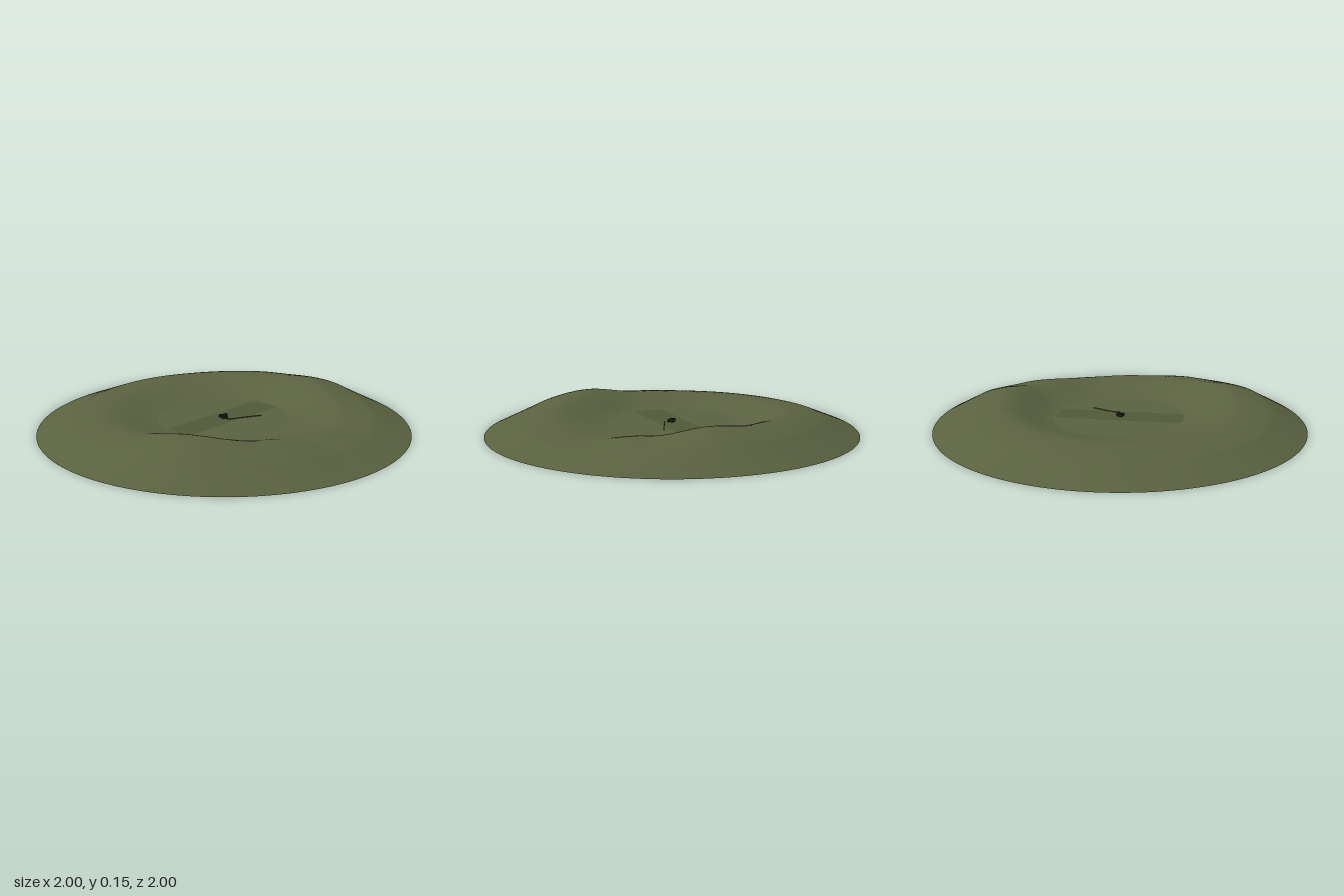
import * as THREE from 'three';
import { mergeVertices } from 'three/addons/utils/BufferGeometryUtils.js';

const FLOOR = 0.163, RIM = 0.12, INNER = 0.35, RIDGE = 0.64, SHOULDER = 0.81;

// Ridge height by compass angle in degrees (0 = +x, 90 = +z)
const ridge = [[-16, 0.27], [14, 0.222], [45, 0.18], [68, 0.195], [92, 0.228], [131, 0.27],
  [165, 0.222], [190, 0.215], [230, 0.215], [270, 0.226], [320, 0.25], [344, 0.27]];

function ridgeHeight(angle) {
  let deg = THREE.MathUtils.radToDeg(angle);
  while (deg < -16) deg += 360;
  while (deg >= 344) deg -= 360;
  const i = ridge.findIndex((p, k) => k < ridge.length - 1 && deg < ridge[k + 1][0]);
  const [a, b] = [ridge[i], ridge[i + 1]];
  return THREE.MathUtils.lerp(a[1], b[1], THREE.MathUtils.smoothstep(deg, a[0], b[0]));
}

function groundHeight(x, z) {
  const r = Math.hypot(x, z);
  const top = ridgeHeight(Math.atan2(z, x));
  const shoulder = 0.17 + (top - 0.18) * 0.6;
  if (r < INNER) return FLOOR - 0.002;
  if (r < RIDGE) {
    const s = (r - INNER) / (RIDGE - INNER);
    const f = 0.25 * Math.sin(s * Math.PI / 2) + 0.75 * s * s * (3 - 2 * s);
    return FLOOR + 0.001 + (top - FLOOR - 0.001) * f;
  }
  if (r < SHOULDER) {
    const s = (r - RIDGE) / (SHOULDER - RIDGE);
    return THREE.MathUtils.lerp(top, shoulder, 0.5 * s + 0.5 * s * s);
  }
  return THREE.MathUtils.lerp(shoulder, RIM, (r - SHOULDER) / (1 - SHOULDER));
}

export function createModel() {
  const group = new THREE.Group();
  const material = (name, color, side = THREE.FrontSide) => {
    const m = new THREE.MeshStandardMaterial({ color, side });
    m.name = name;
    return m;
  };
  const green = material('olive ground', 0x5a6140, THREE.DoubleSide);
  const shade = material('dark olive path', 0x525939, THREE.DoubleSide);
  const dark = material('blackish green', 0x23271a);

  const add = (name, geometry, mat, x = 0, y = 0, z = 0, turn = 0) => {
    const mesh = new THREE.Mesh(geometry, mat);
    mesh.name = name;
    mesh.position.set(x, y, z);
    mesh.rotation.y = turn;
    group.add(mesh);
    return mesh;
  };

  // Hilly round ground with a flat hollow, open underneath
  let ground = new THREE.RingGeometry(0.001, 1, 144, 63).rotateX(-Math.PI / 2);
  const p = ground.attributes.position;
  for (let i = 0; i < p.count; i++) p.setY(i, groundHeight(p.getX(i), p.getZ(i)));
  ground.deleteAttribute('uv');
  ground.deleteAttribute('normal');
  ground = mergeVertices(ground, 1e-5);
  ground.computeVertexNormals();
  add('ground', ground, green);

  // Square floor that fills the hollow and runs on beneath the hills
  add('hollowFloor', new THREE.PlaneGeometry(0.77, 0.77).rotateX(-Math.PI / 2), green, 0, FLOOR, 0, -0.11);

  // Faint path across the hollow, with ends following its round edge
  const path = new THREE.Shape();
  path.absarc(0, 0, 0.345, -0.24, 0.24, false);
  path.absarc(0, 0, 0.345, Math.PI - 0.24, Math.PI + 0.24, false);
  add('path', new THREE.ShapeGeometry(path).rotateX(-Math.PI / 2), shade, 0, FLOOR + 0.0015, 0, 0.38);

  // Small cluster of blocks in the middle
  const blocks = [[-0.01, -0.012, 0.022, 0.016], [0.01, 0, 0.018, 0.022],
    [-0.008, 0.012, 0.02, 0.014], [0.006, 0.016, 0.014, 0.01]];
  blocks.forEach(([x, z, w, h], i) =>
    add('block' + (i + 1), new THREE.BoxGeometry(w, h, 0.014), dark, x, FLOOR + h / 2, z, i * 0.5));

  // Thin rail lying beside the blocks
  add('rail', new THREE.BoxGeometry(0.2, 0.004, 0.005), green, 0.1, FLOOR + 0.003, 0.045, -0.05);

  return group;
}
